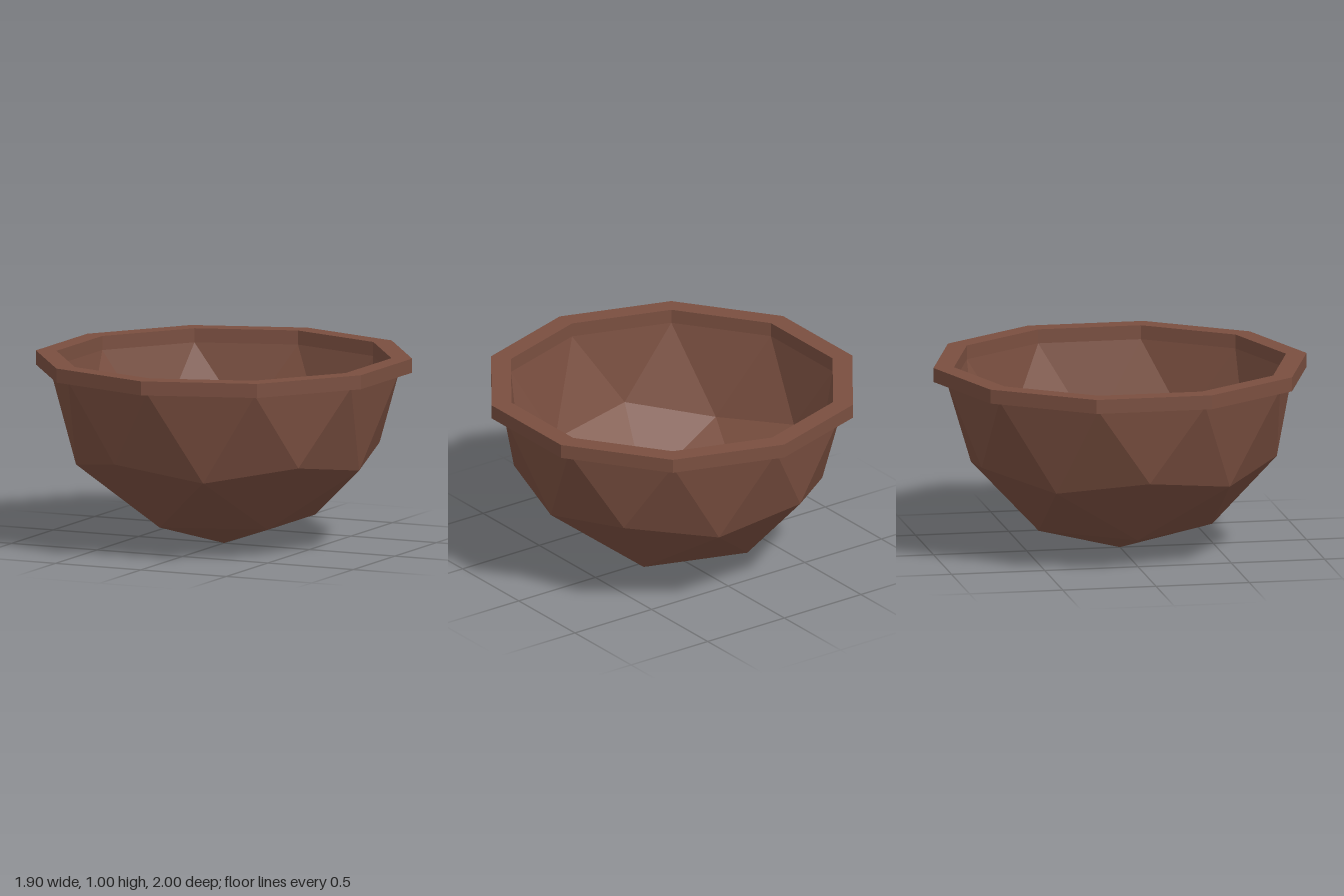
import * as THREE from 'three';

const RIM_BASE = 0.93, RIM_TOP = 1.005;

// Point at an azimuth in degrees; r and y are fractions of the sphere radius
const polar = (R, r, y, deg) => {
  const a = THREE.MathUtils.degToRad(deg);
  return [R * r * Math.cos(a), RIM_BASE + R * y, R * r * Math.sin(a)];
};

// Lower half of a once-subdivided icosahedron, hanging from the rim base
function halfIcosphere(R, inward) {
  const pos = [];
  const face = (a, b, c) => pos.push(...a, ...(inward ? c : b), ...(inward ? b : c));
  const bottom = [0, RIM_BASE - R, 0];
  const low = (k) => polar(R, 0.5257, -0.8507, 180 + 72 * k);
  const corner = (k) => polar(R, 0.8944, -0.4472, 180 + 72 * k);
  const mid = (k) => polar(R, 0.8507, -0.5257, 216 + 72 * k);
  const edge = (j) => polar(R, 1, 0, 198 + 36 * j);
  for (let k = 0; k < 5; k++) {
    face(bottom, low(k), low(k + 1));
    face(low(k), corner(k), mid(k));
    face(low(k), mid(k), low(k + 1));
    face(low(k + 1), mid(k), corner(k + 1));
    face(corner(k), edge(2 * k), mid(k));
    face(mid(k), edge(2 * k), edge(2 * k + 1));
    face(mid(k), edge(2 * k + 1), corner(k + 1));
    face(corner(k + 1), edge(2 * k + 1), edge(2 * k + 2));
  }
  const g = new THREE.BufferGeometry();
  g.setAttribute('position', new THREE.Float32BufferAttribute(pos, 3));
  g.computeVertexNormals();
  return g;
}

// Ten corners with one pointing along the z axis
const decagon = (r) => Array.from({ length: 10 }, (_, i) => {
  const a = Math.PI / 2 + (i * Math.PI) / 5;
  return new THREE.Vector2(r * Math.cos(a), r * Math.sin(a));
});

export function createModel() {
  const model = new THREE.Group();
  model.name = 'bowl';
  const clay = new THREE.MeshStandardMaterial({ color: 0x7a4f40, flatShading: true });
  const add = (name, geometry) => {
    const mesh = new THREE.Mesh(geometry, clay);
    mesh.name = name;
    model.add(mesh);
  };

  // Faceted shell, outside and inside
  add('outerShell', halfIcosphere(0.93, false));
  add('innerShell', halfIcosphere(0.89, true));

  // Flat ten-sided rim
  const ring = new THREE.Shape(decagon(1));
  ring.holes.push(new THREE.Path(decagon(0.89)));
  const rim = new THREE.ExtrudeGeometry(ring, { depth: RIM_TOP - RIM_BASE, bevelEnabled: false });
  rim.rotateX(-Math.PI / 2).translate(0, RIM_BASE, 0);
  add('rim', rim);

  return model;
}
